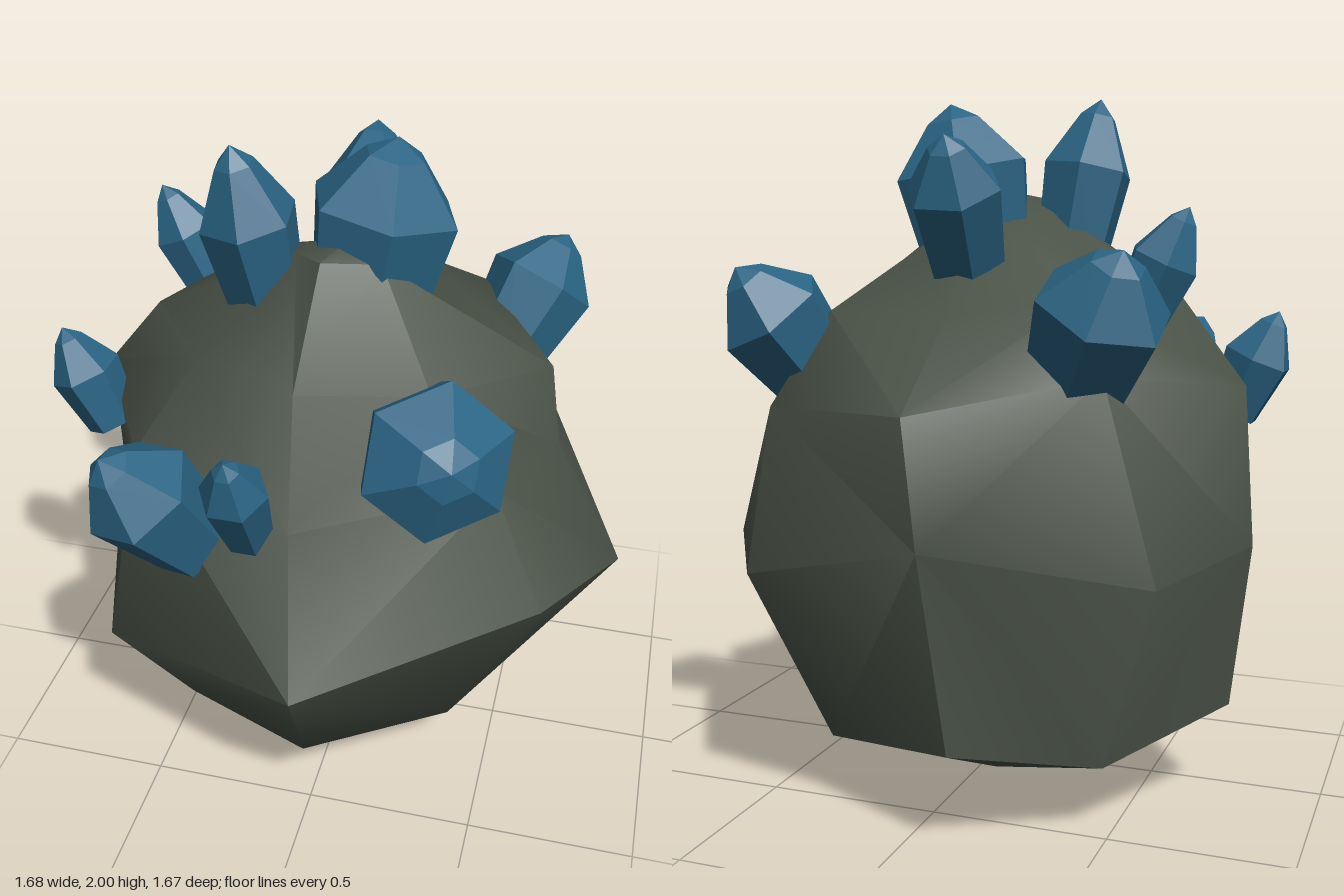
import * as THREE from 'three';
import { toCreasedNormals } from 'three/addons/utils/BufferGeometryUtils.js';

const rockMat = new THREE.MeshStandardMaterial({ color: 0x4a5247 });
rockMat.name = 'mossy stone';
const crystalMat = new THREE.MeshStandardMaterial({ color: 0x2a6484, flatShading: true });
crystalMat.name = 'blue crystal';

// Boulder cross-sections from bottom to top, eight corners each:
// front, front +x, +x, back +x, back, back -x, -x, front -x
const rings = [
  [[0, .28, .57], [.38, .2, .24], [.6, .27, -.13], [.29, .2, -.54], [-.15, .28, -.77], [-.49, .2, -.51], [-.75, .28, -.12], [-.43, .2, .34]],
  [[.04, .72, .83], [.65, .84, .44], [.84, .66, -.08], [.44, .7, -.73], [-.1, .82, -.84], [-.65, .72, -.61], [-.81, .75, -.15], [-.6, .57, .52]],
  [[-.02, 1.1, .59], [.49, 1.14, .32], [.62, 1.03, -.12], [.46, 1.13, -.55], [-.04, 1.15, -.79], [-.49, 1.24, -.55], [-.76, 1.18, -.03], [-.52, 1.16, .4]],
  [[-.05, 1.42, .41], [.3, 1.4, .3], [.58, 1.28, -.14], [.33, 1.39, -.43], [-.04, 1.38, -.49], [-.38, 1.42, -.44], [-.57, 1.42, 0], [-.36, 1.42, .28]],
  [[-.02, 1.72, .23], [.13, 1.7, .16], [.25, 1.54, .02], [.14, 1.58, -.18], [0, 1.58, -.23], [-.13, 1.6, -.14], [-.17, 1.67, .05], [-.1, 1.71, .17]],
];
const bottom = [-.05, 0, -.13], top = [.04, 1.74, .09];

function rockGeometry() {
  const n = 8, positions = [...bottom, ...rings.flat(2), ...top], index = [];
  const at = (r, i) => 1 + r * n + i % n;
  const last = rings.length - 1, apex = 1 + rings.length * n;
  for (let i = 0; i < n; i++) {
    index.push(0, at(0, i + 1), at(0, i), apex, at(last, i), at(last, i + 1));
    for (let r = 0; r < last; r++) {
      const a = at(r, i), b = at(r, i + 1), c = at(r + 1, i + 1), d = at(r + 1, i);
      // diagonals alternate around the rock, and the lowest band runs opposite
      if ((i % 2 === 1) !== (r === 0)) index.push(a, b, d, b, c, d);
      else index.push(a, b, c, a, c, d);
    }
  }
  const g = new THREE.BufferGeometry();
  g.setAttribute('position', new THREE.Float32BufferAttribute(positions, 3));
  g.setIndex(index);
  return toCreasedNormals(g, 0.82);
}

// Six-sided crystal growing from base to tip, widest at its shoulder, with a blunt point
function crystal(base, tip, radius, shoulder, turn) {
  const from = new THREE.Vector3(...base), axis = new THREE.Vector3(...tip).sub(from);
  const length = axis.length();
  const profile = [[0, 0], [.74, 0], [1, shoulder], [.4, shoulder + (1 - shoulder) * .75], [0, 1]]
    .map(([r, h]) => new THREE.Vector2(r * radius, h * length));
  const mesh = new THREE.Mesh(new THREE.LatheGeometry(profile, 6, turn), crystalMat);
  mesh.position.copy(from);
  mesh.quaternion.setFromUnitVectors(new THREE.Vector3(0, 1, 0), axis.normalize());
  return mesh;
}

const crystals = [
  // name, base, tip, radius, shoulder height, turn
  ['summitLargeCrystal', [.04, 1.42, .02], [.13, 1.98, -.03], .215, .66, .3],
  ['summitTallCrystal', [-.19, 1.45, .1], [-.27, 2, .18], .137, .62, .1],
  ['summitBackCrystal', [0, 1.4, -.18], [-.02, 1.86, -.45], .138, .7, .5],
  ['frontLeftLargeCrystal', [.23, 1.17, .17], [.4, 1.33, .54], .22, .68, .2],
  ['backLeftCrystal', [.38, 1.15, -.33], [.56, 1.51, -.55], .165, .65, .4],
  ['backRightCrystal', [-.36, 1.15, -.41], [-.55, 1.56, -.59], .185, .65, .1],
  ['rightUpperCrystal', [-.48, 1.32, -.26], [-.64, 1.67, -.26], .1, .6, .3],
  ['rightOuterCrystal', [-.69, 1.08, .15], [-.82, 1.38, .15], .105, .55, 0],
  ['frontRightCrystal', [-.32, .96, .5], [-.49, 1.33, .69], .165, .62, .2],
  ['frontSmallCrystal', [-.14, 1.05, .55], [-.15, 1.38, .7], .095, .62, .5],
];

export function createModel() {
  const model = new THREE.Group();
  model.name = 'crystalBoulder';

  const rock = new THREE.Mesh(rockGeometry(), rockMat);
  rock.name = 'boulder';
  model.add(rock);

  for (const [name, ...shape] of crystals) {
    const mesh = crystal(...shape);
    mesh.name = name;
    model.add(mesh);
  }
  return model;
}
